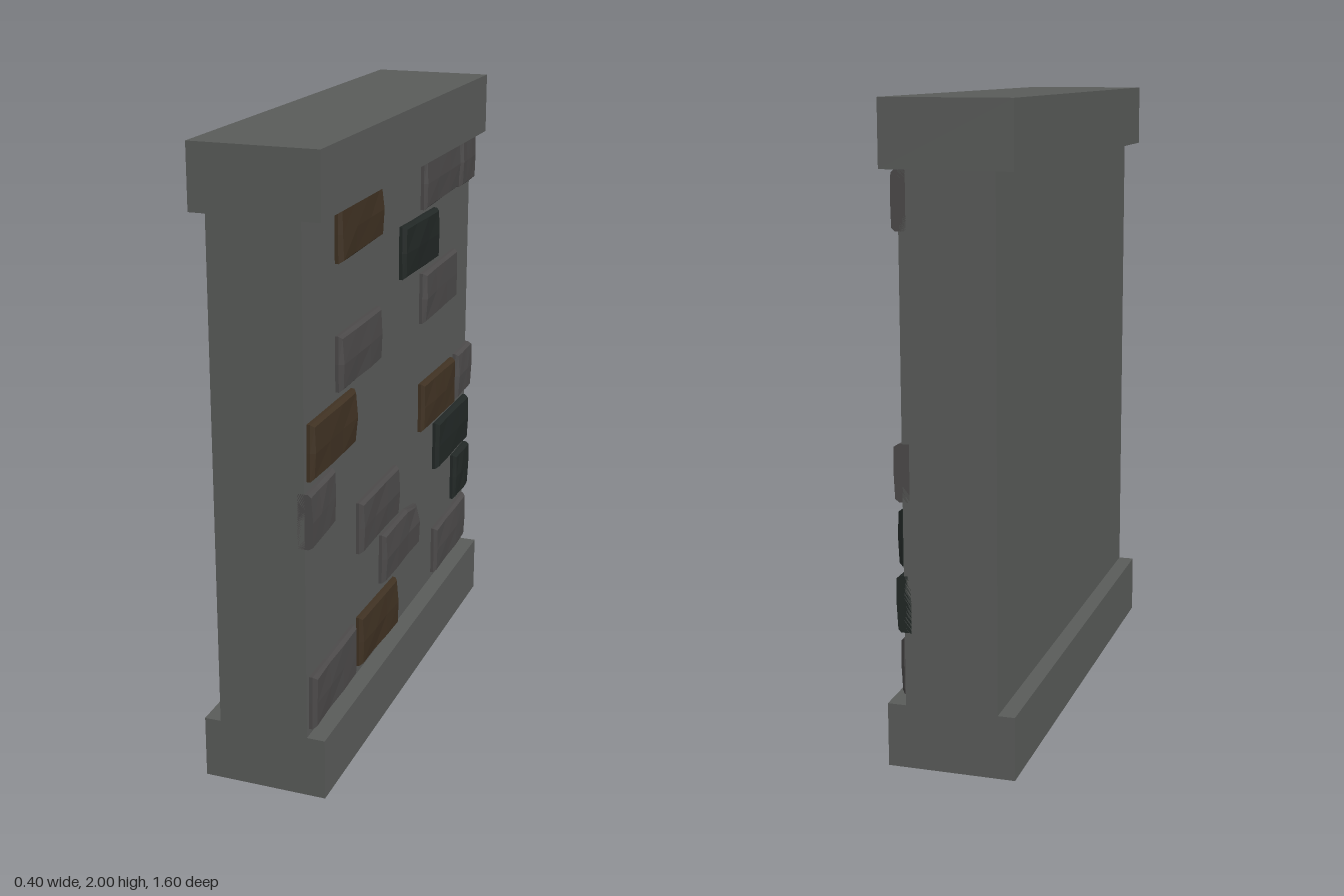
import * as THREE from 'three';

const COLORS = { stone: 0x5a5c5a, grey: 0x4c4a4a, brown: 0x403223, dark: 0x222826 };
const mats = {};
for (const [key, color] of Object.entries(COLORS)) {
  mats[key] = new THREE.MeshStandardMaterial({ color, flatShading: true });
}

const WALL_FACE = 0.142; // x of the bricked face
const HALF_LENGTH = 0.8;

// Each brick: [z of the +z end, z of the -z end, top y, colour, chipped]
const BRICKS = [
  [0.55, 0.19, 1.8, 'brown'], [-0.24, -0.605, 1.8, 'grey'], [-0.64, -0.8, 1.8, 'grey'],
  [-0.025, -0.385, 1.605, 'dark'],
  [0.55, 0.19, 1.405, 'grey'], [-0.24, -0.605, 1.405, 'grey'],
  [0.78, 0.42, 1.205, 'brown'],
  [0.8, 0.6, 1.005, 'grey'], [-0.24, -0.605, 1.005, 'brown'], [-0.64, -0.8, 1.005, 'grey'],
  [0.375, 0.015, 0.805, 'grey'], [-0.415, -0.78, 0.805, 'dark'],
  [0.155, -0.21, 0.605, 'grey', true], [-0.64, -0.8, 0.605, 'dark'],
  [0.78, 0.42, 0.4, 'grey'], [0.375, 0.015, 0.4, 'brown'], [-0.415, -0.78, 0.4, 'grey'],
];

// Repeatable noise in -1..1, so shared corners move together
function noise(a, b, c) {
  const s = Math.sin(a * 127.1 + b * 311.7 + c * 74.7) * 43758.5453;
  return (s - Math.floor(s)) * 2 - 1;
}

function box(name, x0, x1, y0, y1) {
  const geo = new THREE.BoxGeometry(x1 - x0, y1 - y0, HALF_LENGTH * 2);
  const mesh = new THREE.Mesh(geo, mats.stone);
  mesh.name = name;
  mesh.position.set((x0 + x1) / 2, (y0 + y1) / 2, 0);
  return mesh;
}

// Rough brick: a box whose front is inset, slightly bulged and uneven
function brick([z0, z1, top, color, chipped], index) {
  const w = z0 - z1, h = 0.175, back = 0.12;
  const geo = new THREE.BoxGeometry(1, 1, 1, 2, 2, 3);
  const pos = geo.attributes.position;
  const tilt = 0.012 * noise(index, 1, 2);
  for (let i = 0; i < pos.count; i++) {
    const u = pos.getX(i), v = pos.getY(i), s = pos.getZ(i);
    const inset = u > 0.4 ? 0.009 : 0;
    const n = noise(index, Math.round(v * 2), Math.round(s * 6));
    let x = u < -0.4 ? back : u < 0.4 ? 0.153 : 0.168 - 0.007 * Math.abs(v) + 0.003 * n;
    let y = top - h / 2 + v * (h - inset * 2) - s * tilt + 0.002 * n * Math.abs(v);
    let z = (z0 + z1) / 2 + s * (w - inset * 2) + 0.004 * noise(index, Math.round(v * 2), 9) * Math.abs(s);
    // broken upper corner
    if (chipped && v > 0.4 && s < -0.4) {
      y -= 0.022;
      z += 0.01;
      x -= u > 0.4 ? 0.006 : 0;
    }
    // keep cut bricks flush with the wall ends
    if (Math.abs(z0) === HALF_LENGTH && s > 0.4) z = HALF_LENGTH;
    if (Math.abs(z1) === HALF_LENGTH && s < -0.4) z = -HALF_LENGTH;
    pos.setXYZ(i, x, Math.min(y, 1.8), z);
  }
  geo.computeVertexNormals();
  const mesh = new THREE.Mesh(geo, mats[color]);
  mesh.name = 'brick' + (index + 1);
  return mesh;
}

export function createModel() {
  const model = new THREE.Group();
  model.name = 'brickWall';

  // Plinth, wall panel and coping
  model.add(
    box('base', -0.2, 0.2, 0, 0.2),
    box('wallPanel', -0.147, WALL_FACE, 0.2, 1.8),
    box('coping', -0.2, 0.2, 1.8, 2),
  );

  // Exposed bricks on one face
  const bricks = new THREE.Group();
  bricks.name = 'exposedBricks';
  BRICKS.forEach((b, i) => bricks.add(brick(b, i)));
  model.add(bricks);
  return model;
}
